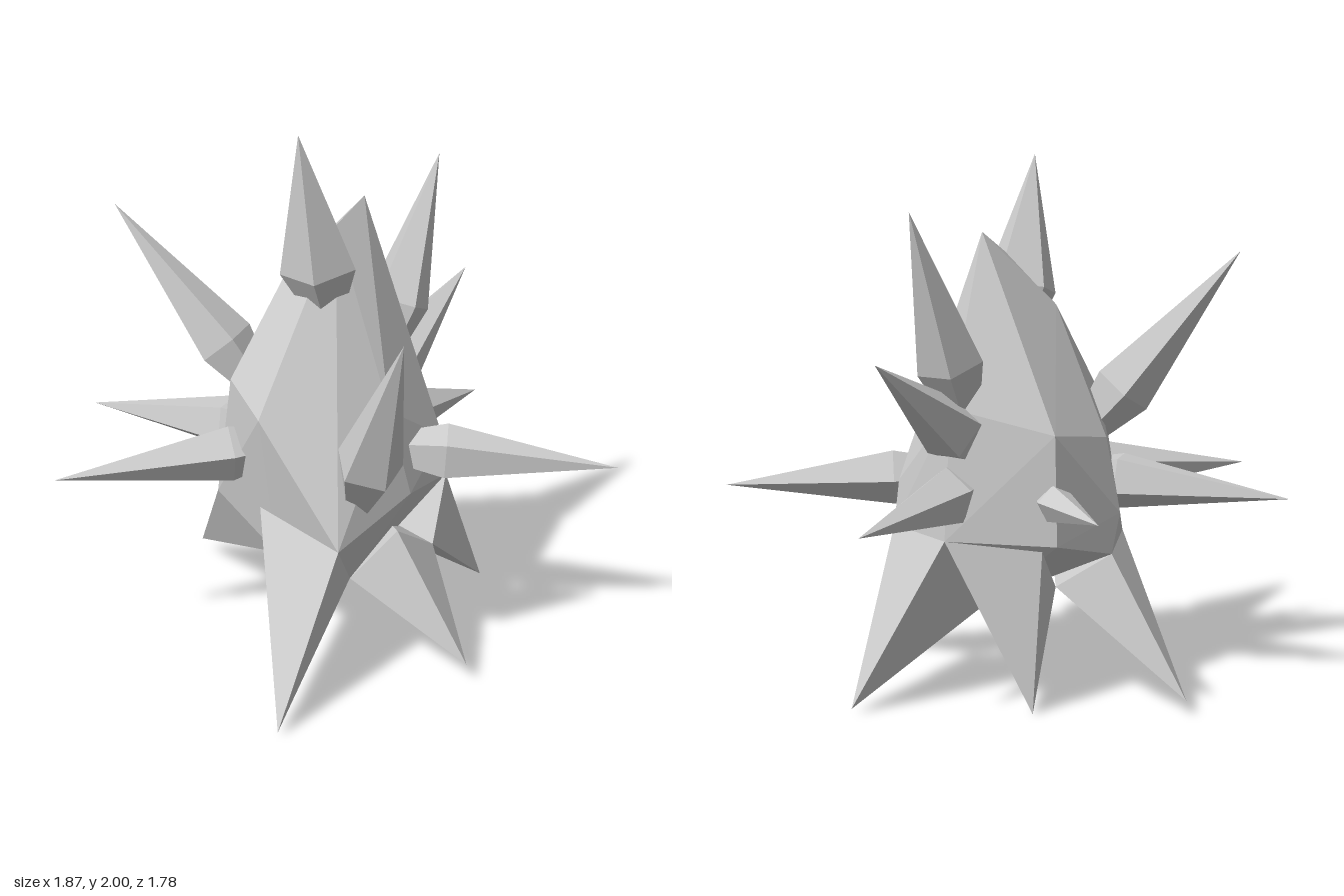
import * as THREE from 'three';
import { ConvexGeometry } from 'three/addons/geometries/ConvexGeometry.js';

const material = new THREE.MeshStandardMaterial({ color: 0xcccccc, flatShading: true });
const vec = (p) => new THREE.Vector3(...p);

// faceted solid around a handful of corner points
function hull(name, points) {
  const mesh = new THREE.Mesh(new ConvexGeometry(points.map(vec)), material);
  mesh.name = name;
  return mesh;
}

// five-sided thorn: narrow root, swelling at a quarter, long sharp tip
function thorn(name, base, tip, radius, turn = 0) {
  const from = vec(base);
  const axis = vec(tip).sub(from);
  const length = axis.length();
  const profile = [[0, 0], [0.5, 0], [1, 0.26], [0, 1]]
    .map(([r, h]) => new THREE.Vector2(r * radius, h * length));
  const mesh = new THREE.Mesh(new THREE.LatheGeometry(profile, 5, turn), material);
  mesh.name = name;
  mesh.position.copy(from);
  mesh.quaternion.setFromUnitVectors(new THREE.Vector3(0, 1, 0), axis.normalize());
  return mesh;
}

export function createModel() {
  const model = new THREE.Group();
  model.name = 'thornyRock';

  // corners shared by the body and its feet
  const frontLeft = [0.39, 0.57, 0.31], frontRight = [-0.28, 0.57, 0.28];
  const frontLow = [0.05, 0.43, 0.29], bottom = [0.03, 0.35, 0];
  const sideLeft = [0.4, 0.54, 0], sideRight = [-0.4, 0.55, 0];
  const backLeft = [0.34, 0.63, -0.35], backRight = [-0.28, 0.6, -0.28];
  const backMid = [0.05, 0.62, -0.42], hipLeft = [0.4, 0.4, -0.21];
  const underBack = [0, 0.36, -0.2], underLeft = [0.3, 0.36, 0.15];
  const underRight = [-0.22, 0.42, -0.1];

  model.add(hull('body', [
    [0.05, 1.72, -0.18], [0.05, 1.64, -0.03], [-0.12, 1.45, 0.05],
    [0.05, 1, 0.37], [-0.18, 1.07, 0.29], [0.33, 1, -0.02],
    [-0.36, 0.98, 0.02], [-0.32, 1.02, -0.26], [0.05, 1.1, -0.38],
    [0.33, 0.8, -0.33], [-0.41, 0.7, 0.04], [-0.33, 0.62, -0.26], [0.4, 0.67, -0.07],
    frontLeft, frontRight, frontLow, bottom, sideRight,
    backLeft, backMid, underBack, underLeft,
  ]));

  // pointed feet
  const feet = {
    frontFoot: [[0.45, 0.02, 0.68], frontLeft, [0.02, 0.63, 0.34], frontLow, underLeft],
    leftFoot: [[0.72, 0.08, -0.04], sideLeft, hipLeft, underLeft, [0.25, 0.5, -0.1]],
    rightFoot: [[-0.73, 0.06, -0.02], frontRight, frontLow, sideRight, underRight],
    backLeftFoot: [[0.28, 0.02, -0.68], backLeft, hipLeft, backMid, underBack],
    backRightFoot: [[-0.26, 0, -0.31], backRight, backMid, underRight, bottom, underBack],
  };
  for (const [name, points] of Object.entries(feet)) model.add(hull(name, points));

  // thorns: base, tip, radius, turn about the axis
  const thorns = {
    crownThorn: [[0.04, 1.33, 0.01], [0.05, 2, 0.16], 0.145, Math.PI / 5],
    upperRightThorn: [[-0.2, 0.96, 0.11], [-0.71, 1.65, 0.37], 0.12],
    upperLeftThorn: [[0.32, 0.68, 0.13], [0.65, 1.43, 0.28], 0.125],
    upperBackThorn: [[0.05, 1.07, -0.3], [0.05, 1.8, -0.6], 0.125],
    middleBackThorn: [[0.05, 0.92, -0.22], [0.05, 1.3, -0.79], 0.12],
    lowerBackThorn: [[0.05, 0.8, -0.22], [0.05, 0.73, -0.89], 0.11],
    frontThorn: [[-0.05, 0.8, 0.12], [-0.49, 0.76, 0.89], 0.11],
    frontRightThorn: [[-0.13, 0.81, 0.08], [-0.94, 0.76, 0.35], 0.11],
    leftThorn: [[0.25, 0.8, -0.1], [0.93, 0.76, -0.63], 0.11],
    backRightThorn: [[-0.22, 0.78, -0.2], [-0.58, 0.76, -0.39], 0.07],
  };
  for (const [name, args] of Object.entries(thorns)) model.add(thorn(name, ...args));

  return model;
}
